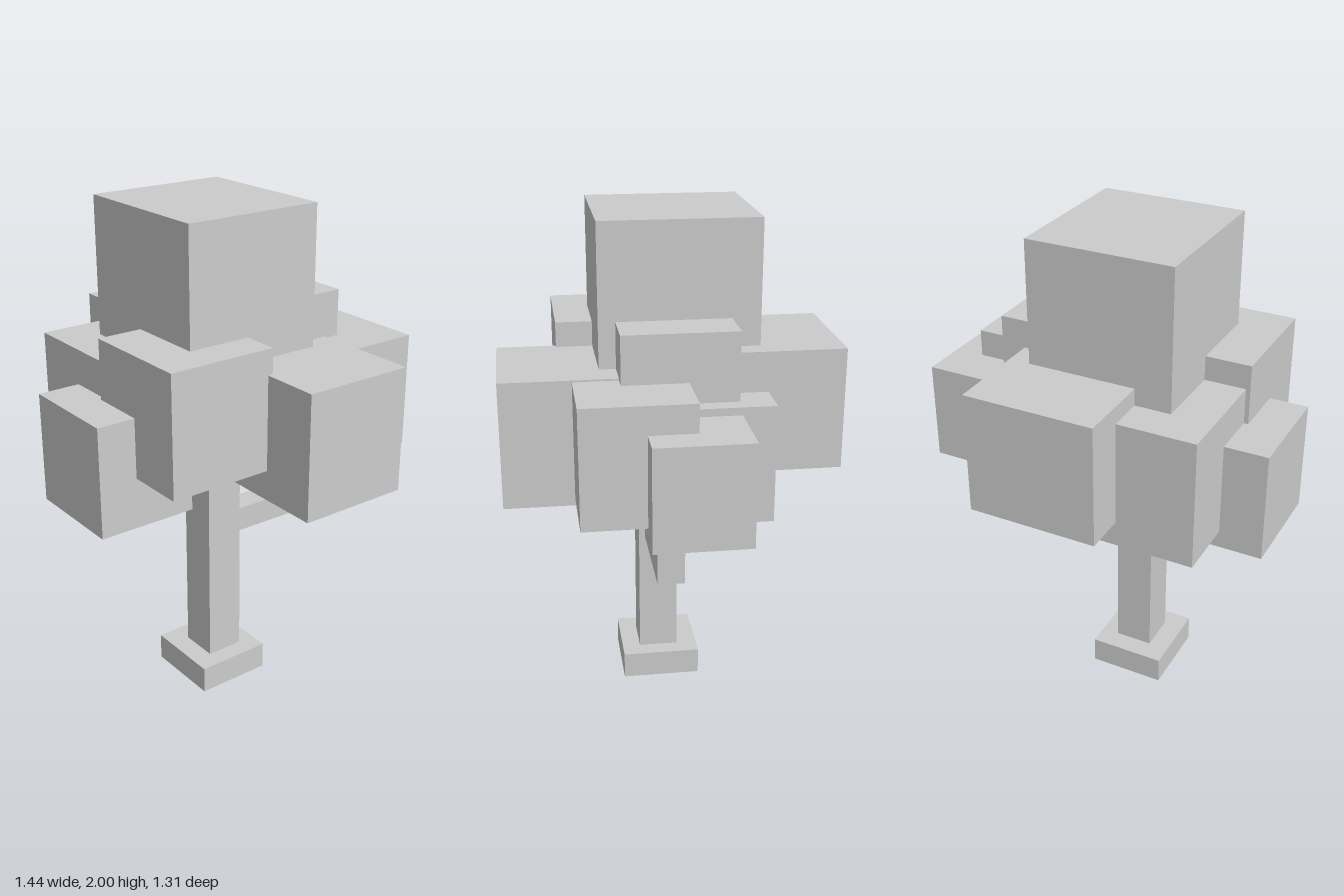
import * as THREE from 'three';

const material = new THREE.MeshStandardMaterial({ color: 0xcccccc, flatShading: true, side: THREE.DoubleSide });

function add(parent, name, geometry) {
  const mesh = new THREE.Mesh(geometry, material);
  mesh.name = name;
  parent.add(mesh);
  return mesh;
}

// Box given by its extents along each axis
function block(parent, name, [x0, x1], [y0, y1], [z0, z1]) {
  const mesh = add(parent, name, new THREE.BoxGeometry(x1 - x0, y1 - y0, z1 - z0));
  mesh.position.set((x0 + x1) / 2, (y0 + y1) / 2, (z0 + z1) / 2);
  return mesh;
}

// Drop the underside (-y) of a box; optionally the top (+y) too
function openBox(mesh, openTop) {
  const index = Array.from(mesh.geometry.index.array);
  mesh.geometry.setIndex(index.filter((_, i) => !(i >= 18 && i < 24) && !(openTop && i >= 12 && i < 18)));
}

export function createModel() {
  const tree = new THREE.Group();
  tree.name = 'tree';

  // Hollow foot: four walls and a top plate with a hole for the trunk
  const bx = [-0.27, 0.04], bz = [-0.14, 0.18], tx = [-0.185, -0.03], tz = [-0.055, 0.105];
  openBox(block(tree, 'footWalls', bx, [0, 0.11], bz), true);
  const rect = (Type, [x0, x1], [z0, z1]) => new Type([
    [x0, -z0], [x1, -z0], [x1, -z1], [x0, -z1],
  ].map(([x, y]) => new THREE.Vector2(x, y)));
  const plate = rect(THREE.Shape, bx, bz);
  plate.holes.push(rect(THREE.Path, tx, tz));
  const plateGeometry = new THREE.ShapeGeometry(plate);
  plateGeometry.rotateX(-Math.PI / 2);
  add(tree, 'footTop', plateGeometry).position.y = 0.11;

  // Hollow trunk
  openBox(block(tree, 'trunk', tx, [0.11, 1.2], tz), false);

  // Bent side branch
  const elbow = new THREE.Shape([
    [-0.04, 0.635], [0.39, 0.63], [0.39, 1.0], [0.285, 1.0], [0.285, 0.735], [-0.04, 0.735],
  ].map(([x, y]) => new THREE.Vector2(x, y)));
  add(tree, 'branch', new THREE.ExtrudeGeometry(elbow, { depth: 0.107, bevelEnabled: false })).position.z = -0.027;

  // Crown of overlapping leaf blocks: x, y and z extents
  const crown = new THREE.Group();
  crown.name = 'crown';
  tree.add(crown);
  const leaves = {
    leafTop: [[-0.385, 0.19], [1.39, 2], [-0.34, 0.275]],
    leafUpperLeft: [[-0.07, 0.372], [1.15, 1.627], [-0.23, 0.21]],
    leafFrontRight: [[-0.567, -0.127], [1.07, 1.547], [-0.045, 0.42]],
    leafFront: [[-0.147, 0.308], [0.95, 1.447], [0.18, 0.655]],
    leafFrontLeft: [[0.16, 0.6], [0.975, 1.44], [-0.042, 0.383]],
    leafLeft: [[0.335, 0.72], [0.93, 1.33], [-0.228, 0.14]],
    leafBackLeft: [[-0.01, 0.437], [0.898, 1.36], [-0.358, 0.07]],
    leafBack: [[-0.242, 0.275], [1.037, 1.517], [-0.656, -0.17]],
    leafBackRight: [[-0.55, -0.08], [0.937, 1.45], [-0.49, -0.03]],
    leafRight: [[-0.722, -0.32], [0.868, 1.308], [-0.238, 0.182]],
  };
  for (const [name, extents] of Object.entries(leaves)) block(crown, name, ...extents);

  return tree;
}
